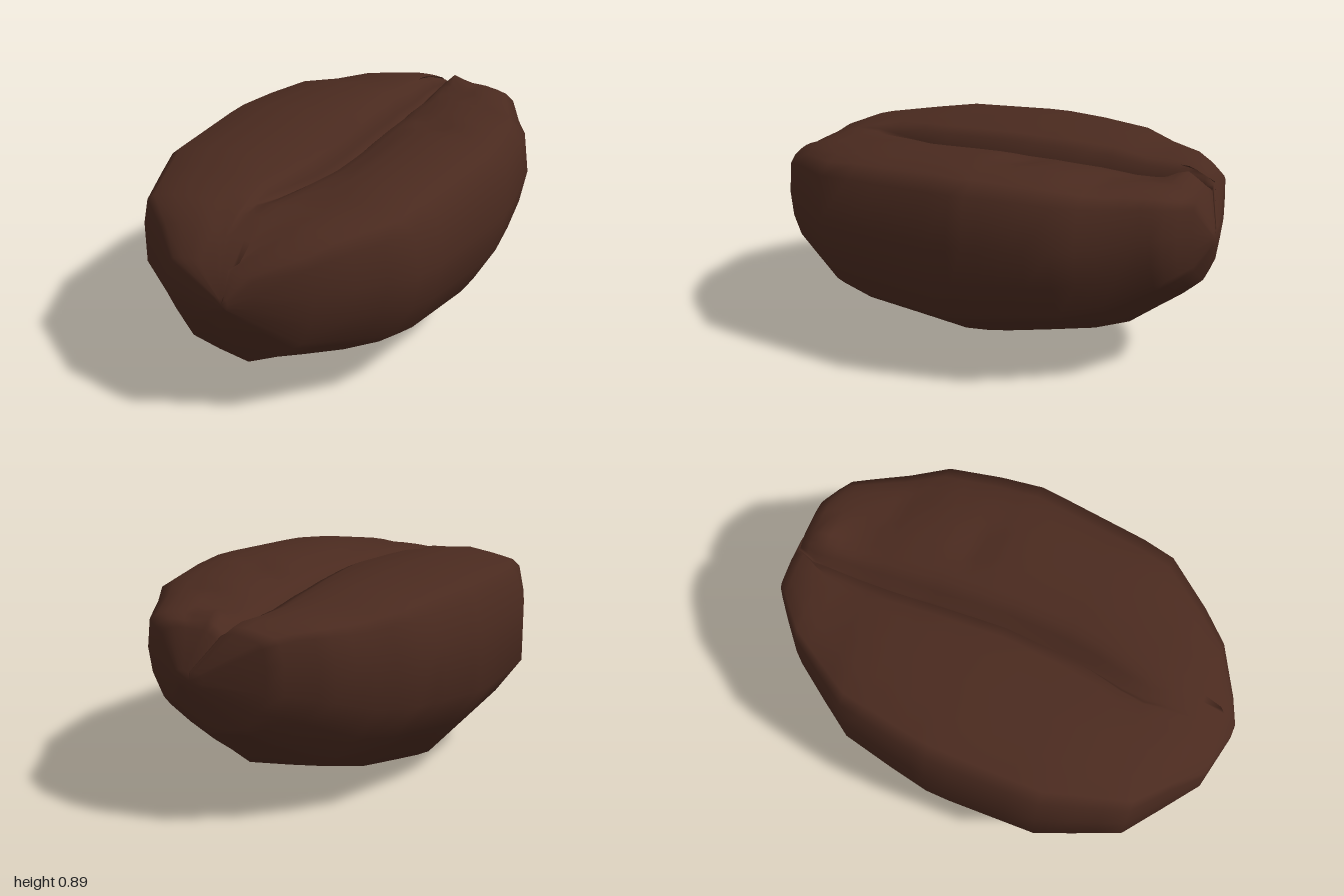
import * as THREE from 'three';

// Outline of the bean along its length: [z, left x, right x, bottom y, top y]
const STATIONS = [
  [-1, 0.06, 0.18, 0.56, 0.64],
  [-0.95, -0.18, 0.28, 0.4, 0.79],
  [-0.88, -0.27, 0.39, 0.34, 0.82],
  [-0.79, -0.38, 0.44, 0.27, 0.835],
  [-0.65, -0.48, 0.52, 0.165, 0.845],
  [-0.5, -0.585, 0.61, 0.11, 0.87],
  [-0.28, -0.635, 0.65, 0.06, 0.885],
  [-0.1, -0.67, 0.672, 0.02, 0.89],
  [0, -0.672, 0.66, 0, 0.89],
  [0.38, -0.67, 0.61, 0.035, 0.87],
  [0.52, -0.62, 0.58, 0.085, 0.85],
  [0.72, -0.545, 0.42, 0.165, 0.815],
  [0.84, -0.39, 0.31, 0.22, 0.77],
  [0.95, -0.26, 0.12, 0.42, 0.69],
  [1, -0.03, 0.03, 0.53, 0.59],
];
const RINGS = [-1, -0.95, -0.91, -0.87, -0.83, -0.79, -0.72, -0.65, -0.58, -0.5, -0.4, -0.34, -0.28,
  -0.22, -0.16, -0.1, 0, 0.12, 0.25, 0.38, 0.52, 0.62, 0.72, 0.84, 0.95, 1];

// Cross-section [u, v] from the left lip of the crease, under the belly, to the right lip
const SECTION = [
  [-0.26, 0.988], [-0.45, 1], [-0.68, 0.975], [-0.88, 0.945], [-0.95, 0.9], [-1, 0.73], [-1, 0.46],
  [-0.82, 0.27], [-0.6, 0.085], [-0.25, 0.035], [0.13, 0], [0.45, 0.11], [0.72, 0.225], [0.81, 0.28],
  [0.95, 0.47], [1, 0.67], [0.96, 0.9], [0.85, 0.955], [0.73, 0.978], [0.6, 0.99], [0.48, 0.988], [0.36, 0.978],
];
// Crease from right to left: [offset from its centre line, share of its depth]
const CREASE = [[0.17, 0.14], [0.12, 0.28], [0.085, 0.36], [0.05, 0.6], [0.02, 0.95],
  [0, 1], [-0.015, 0.7], [-0.03, 0.22], [-0.08, 0.06]];

const CREASE_DEPTH = [[-1, 0.01], [-0.95, 0.03], [-0.87, 0.07], [-0.7, 0.1], [-0.4, 0.14],
  [0.2, 0.14], [0.45, 0.09], [0.65, 0.02], [0.75, 0], [1, 0]];
const CREASE_X = [[-1, 0.12], [-0.95, 0.02], [-0.87, -0.01], [-0.5, -0.01], [0, 0.01], [0.3, -0.01],
  [0.6, -0.08], [0.84, -0.06], [1, 0]];
// Dents and the small lump on the flat face: [x, z, radius x, radius z, height]
const MARKS = [[0.1, -0.87, 0.05, 0.06, 0.045], [0.27, -0.25, 0.08, 0.05, -0.03],
  [0.36, -0.58, 0.09, 0.05, -0.02], [0.16, -0.72, 0.06, 0.07, -0.015]];

// Linear lookup in a table whose first column is z
function lookup(table, z, column = 1) {
  let i = 1;
  while (i < table.length - 1 && table[i][0] < z) i++;
  const a = table[i - 1], b = table[i];
  return THREE.MathUtils.mapLinear(z, a[0], b[0], a[column], b[column]);
}

function ring(z) {
  const [xl, xr, yb, yt] = [1, 2, 3, 4].map((c) => lookup(STATIONS, z, c));
  const mid = (xl + xr) / 2, half = (xr - xl) / 2, height = yt - yb;
  const points = SECTION.map(([u, v]) => [mid + u * half, yb + v * height]);
  const cx = lookup(CREASE_X, z), depth = lookup(CREASE_DEPTH, z);
  const squeeze = Math.min(1, half / 0.6);
  for (const [dx, share] of CREASE) {
    points.push([cx + dx * squeeze, yb + height * 0.982 - depth * share]);
  }
  // press the dents and raise the lump, on the upper face only
  return points.map(([x, y]) => {
    if (y < yb + height * 0.6) return [x, y, z];
    let lift = 0;
    for (const [mx, mz, rx, rz, h] of MARKS) {
      lift += h * Math.exp(-(((x - mx) / rx) ** 2) - ((z - mz) / rz) ** 2);
    }
    return [x, y + lift, z];
  });
}

function beanGeometry() {
  const n = SECTION.length + CREASE.length;
  const positions = [], index = [];
  RINGS.forEach((z) => ring(z).forEach((p) => positions.push(...p)));
  for (let r = 0; r < RINGS.length - 1; r++) {
    for (let i = 0; i < n; i++) {
      const j = (i + 1) % n;
      const a = r * n + i, b = r * n + j, c = a + n, d = b + n;
      index.push(a, b, c, b, d, c);
    }
  }
  // close both tips
  const last = (RINGS.length - 1) * n, back = RINGS.length * n, front = back + 1;
  positions.push(0.12, 0.6, -1, 0, 0.56, 1);
  for (let i = 0; i < n; i++) {
    const j = (i + 1) % n;
    index.push(back, j, i, front, last + i, last + j);
  }
  const geometry = new THREE.BufferGeometry();
  geometry.setAttribute('position', new THREE.Float32BufferAttribute(positions, 3));
  geometry.setIndex(index);
  geometry.computeVertexNormals();
  return geometry;
}

export function createModel() {
  const group = new THREE.Group();
  group.name = 'coffeeBean';
  const bean = new THREE.Mesh(beanGeometry(), new THREE.MeshStandardMaterial({ color: 0x4a2a1f }));
  bean.name = 'bean';
  group.add(bean);
  return group;
}
